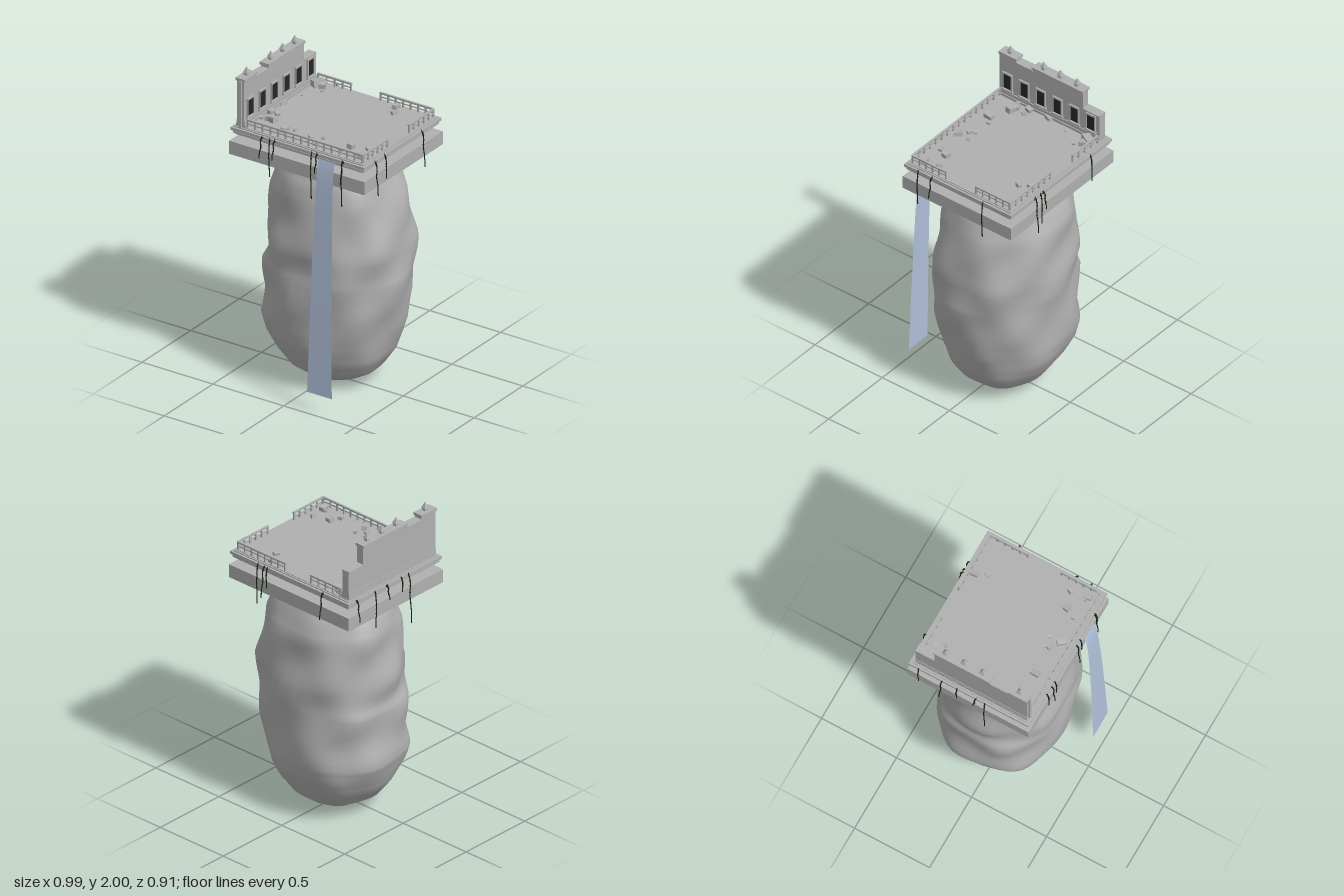
import * as THREE from 'three';

export function createModel() {
  const root = new THREE.Group();
  root.name = 'floatingTerrace';
  const mat = (name, color, side = THREE.FrontSide) => {
    const m = new THREE.MeshStandardMaterial({ color, side });
    m.name = name;
    return m;
  };
  const stone = mat('stone', 0xb0b0b0);
  const glass = mat('darkWindow', 0x262626);
  const water = mat('water', 0xb0c0da, THREE.DoubleSide);
  const vineGreen = mat('vineGreen', 0x15230f);
  const CZ = -0.037; // middle of the terrace in z

  const add = (parent, name, geo, material, x = 0, y = 0, z = 0) => {
    const m = new THREE.Mesh(geo, material);
    m.name = name;
    m.position.set(x, y, z);
    parent.add(m);
    return m;
  };
  // Box given by its limits
  const box = (parent, name, x0, x1, y0, y1, z0, z1, material = stone) =>
    add(parent, name, new THREE.BoxGeometry(x1 - x0, y1 - y0, z1 - z0), material,
      (x0 + x1) / 2, (y0 + y1) / 2, (z0 + z1) / 2);
  const group = (name) => {
    const g = new THREE.Group();
    g.name = name;
    root.add(g);
    return g;
  };

  // Rock: lumpy rings of y, xMin, xMax, zMin, zMax
  const rings = [
    [0.005, -0.03, 0.03, -0.06, 0], [0.015, -0.10, 0.11, -0.13, 0.07], [0.045, -0.19, 0.20, -0.22, 0.15],
    [0.1, -0.28, 0.29, -0.29, 0.22], [0.2, -0.36, 0.355, -0.36, 0.28], [0.3, -0.405, 0.385, -0.41, 0.32],
    [0.4, -0.44, 0.415, -0.43, 0.335], [0.55, -0.405, 0.45, -0.43, 0.345], [0.72, -0.425, 0.472, -0.425, 0.35],
    [0.8, -0.395, 0.47, -0.43, 0.345], [0.93, -0.41, 0.477, -0.435, 0.355], [1.08, -0.39, 0.445, -0.415, 0.325],
    [1.23, -0.395, 0.41, -0.41, 0.31], [1.33, -0.36, 0.37, -0.375, 0.285], [1.4, -0.32, 0.33, -0.34, 0.25],
    [1.45, -0.29, 0.30, -0.31, 0.22],
  ];
  const ringAt = (t) => {
    const f = t * (rings.length - 1), i = Math.min(Math.floor(f), rings.length - 2);
    return rings[i].map((v, k) => v + (rings[i + 1][k] - v) * (f - i));
  };
  const seg = 48, rows = 45, pos = [], idx = [];
  for (let r = 0; r <= rows; r++) {
    const [y, x0, x1, z0, z1] = ringAt(r / rows);
    for (let s = 0; s < seg; s++) {
      const a = (s / seg) * Math.PI * 2, c = Math.cos(a), n = Math.sin(a);
      const lump = 1 + 0.022 * Math.sin(3 * a + 5 * y) * Math.sin(9 * y + 2 * a)
        + 0.016 * Math.sin(7 * a - 8 * y) + 0.01 * Math.cos(5 * a + 17 * y) - 0.012;
      const px = Math.sign(c) * Math.abs(c) ** 0.88, pz = Math.sign(n) * Math.abs(n) ** 0.88;
      pos.push((x0 + x1) / 2 + (x1 - x0) / 2 * px * lump, y, (z0 + z1) / 2 + (z1 - z0) / 2 * pz * lump);
      if (r < rows) {
        const p = r * seg + s, q = r * seg + (s + 1) % seg;
        idx.push(p, p + seg, q, q, p + seg, q + seg);
      }
    }
  }
  const bottom = pos.length / 3, top = bottom + 1;
  pos.push(0, 0, -0.03, 0, 1.45, -0.04);
  for (let s = 0; s < seg; s++) {
    const s2 = (s + 1) % seg;
    idx.push(bottom, s, s2, top, rows * seg + s2, rows * seg + s);
  }
  const rockGeo = new THREE.BufferGeometry();
  rockGeo.setAttribute('position', new THREE.Float32BufferAttribute(pos, 3));
  rockGeo.setIndex(idx);
  rockGeo.computeVertexNormals();
  add(root, 'rock', rockGeo, stone);

  // Base slab, with the stepped terrace hovering above it
  box(root, 'baseSlab', -0.477, 0.477, 1.45, 1.535, CZ - 0.403, CZ + 0.403);
  const terrace = group('terrace');
  [[1.575, 1.586, 0.45], [1.586, 1.598, 0.462], [1.598, 1.606, 0.452], [1.606, 1.624, 0.472]].forEach(
    ([y0, y1, w], i) => box(terrace, 'terraceStep' + i, -w, w, y0, y1, CZ - w + 0.074, CZ + w - 0.074));
  [[0.458, 1.63], [0.448, 1.634]].forEach(([w, y], i) =>
    box(terrace, 'deck' + i, -w, w, 1.62, y, CZ - w + 0.074, CZ + w - 0.074));

  // Low railings along the edges
  const railings = group('railings');
  const railing = (ax, az, bx, bz) => {
    const len = Math.hypot(bx - ax, bz - az), g = new THREE.Group();
    g.name = 'railing';
    g.position.set((ax + bx) / 2, 0, (az + bz) / 2);
    g.rotation.y = -Math.atan2(bz - az, bx - ax);
    railings.add(g);
    const h = len / 2;
    box(g, 'topRail', -h, h, 1.677, 1.688, -0.006, 0.006);
    box(g, 'middleRail', -h, h, 1.654, 1.661, -0.003, 0.003);
    const n = Math.round(len / 0.055);
    for (let i = 0; i <= n; i++) {
      const x = -h + 0.005 + (len - 0.01) * i / n;
      box(g, 'railPost', x - 0.005, x + 0.005, 1.63, 1.68, -0.005, 0.005);
    }
  };
  railing(-0.38, 0.325, 0.44, 0.325);
  railing(-0.38, -0.402, -0.14, -0.402);
  railing(0.06, -0.402, 0.44, -0.402);
  railing(0.438, -0.405, 0.438, -0.145);
  railing(0.438, 0.07, 0.438, 0.325);

  // Ruined wall of six window bays
  const wall = group('ruinedWall');
  const heights = [1.935, 1.913, 1.935, 1.935, 1.935, 1.815];
  heights.forEach((h, i) => {
    const z = 0.276 - i * 0.1238, w = 0.0619;
    box(wall, 'wallBay', -0.442, -0.393, 1.625, h, z - w, z + w);
    box(wall, 'plinth', -0.447, -0.381, 1.625, 1.65, z - w, z + w);
    box(wall, 'plinthBand', -0.445, -0.387, 1.65, 1.672, z - w, z + w);
    // Framed window
    box(wall, 'windowPane', -0.394, -0.388, 1.695, 1.795, z - 0.028, z + 0.028, glass);
    box(wall, 'windowSill', -0.394, -0.379, 1.682, 1.692, z - 0.042, z + 0.042);
    box(wall, 'windowLintel', -0.394, -0.382, 1.798, 1.809, z - 0.036, z + 0.036);
    for (const s of [-1, 1])
      box(wall, 'windowJamb', -0.394, -0.383, 1.69, 1.8, z + s * 0.032 - 0.004, z + s * 0.032 + 0.004);
    if (h > 1.92) {
      // Coping and finial
      box(wall, 'coping', -0.45, -0.385, h - 0.008, h + 0.01, z - w - 0.003, z + w + 0.003);
      box(wall, 'finialBase', -0.428, -0.404, h + 0.01, 1.967, z - 0.012, z + 0.012);
      const cone = add(wall, 'finial', new THREE.ConeGeometry(0.024, 0.038, 4).toNonIndexed(), stone, -0.416, 1.981, z);
      cone.geometry.computeVertexNormals();
      cone.rotation.y = Math.PI / 4;
    } else {
      box(wall, 'brokenTop', -0.447, -0.39, h - 0.006, h + 0.004, z - w, z + w);
    }
  });
  box(wall, 'endPilaster', -0.425, -0.405, 1.625, 1.93, 0.337, 0.348);

  // Fallen blocks: x, z, width, depth, turn
  const rubble = group('rubble');
  [
    [-0.345, -0.355, 0.05, 0.075, -0.5], [-0.31, -0.35, 0.04, 0.05, 0.4], [-0.28, -0.3, 0.018, 0.02, 0.5],
    [-0.345, -0.19, 0.01, 0.01, 0.2], [-0.375, -0.04, 0.025, 0.05, -0.4], [-0.365, 0.097, 0.03, 0.042, -0.2],
    [-0.32, 0.098, 0.028, 0.025, -0.6], [-0.3, 0.178, 0.055, 0.04, -0.25], [-0.335, 0.172, 0.03, 0.045, 0.2],
    [-0.372, 0.185, 0.02, 0.022, 0.3], [-0.17, 0.24, 0.033, 0.055, -0.05], [-0.122, 0.205, 0.015, 0.024, 0],
    [0, 0.205, 0.013, 0.02, 0.5], [0.012, 0.237, 0.035, 0.024, -0.5], [0.07, 0.28, 0.033, 0.053, 0.7],
    [0.071, 0.203, 0.022, 0.022, 0.6], [0.273, 0.205, 0.04, 0.035, -0.15], [0.244, 0.265, 0.032, 0.022, 0.1],
    [0.392, 0.278, 0.035, 0.045, 0.1], [0.37, 0.27, 0.02, 0.022, 0.5], [0.375, 0.172, 0.028, 0.028, -0.5],
    [0.195, -0.37, 0.03, 0.048, 0.05], [0.23, -0.3, 0.025, 0.035, -0.4],
  ].forEach(([x, z, w, d, a], i) => {
    const h = Math.min(w, d) * 0.85;
    const b = add(rubble, 'fallenBlock', new THREE.BoxGeometry(w, h, d), stone, x, 1.634 + h * 0.42, z);
    b.rotation.set(0.12 * Math.sin(i * 2.3), a, 0.15 * Math.cos(i * 1.7));
  });

  // Waterfall: a thin sheet that arcs out and widens as it drops
  const sheet = new THREE.PlaneGeometry(2, 1, 1, 24);
  const p = sheet.attributes.position;
  for (let i = 0; i < p.count; i++) {
    const t = 0.5 - p.getY(i);
    p.setXYZ(i, 0.221 + p.getX(i) * (0.056 + 0.031 * t), 1.607 - 1.495 * t, 0.38 + 0.075 * Math.sqrt(t));
  }
  sheet.computeVertexNormals();
  add(root, 'waterfall', sheet, water);

  // Hanging vines: edge position, outward direction, lowest point
  const vines = group('vines');
  const vine = (x, z, ox, oz, end, i) => {
    const s = i % 2 ? 1 : -1, y0 = 1.622, drop = y0 - end;
    const at = (out, side, t) => new THREE.Vector3(
      x + ox * out + oz * side * s, y0 - drop * t, z + oz * out + ox * side * s);
    const curve = new THREE.CatmullRomCurve3([
      at(-0.012, 0, 0.02), at(0.002, 0.002, 0), at(0.013, 0.006, 0.15),
      at(0.014, 0.003, 0.45), at(0.018, 0.009, 0.7), at(0.019, 0.012, 1)]);
    const g = new THREE.Group();
    g.name = 'vine';
    vines.add(g);
    add(g, 'vineStem', new THREE.TubeGeometry(curve, 16, 0.0032, 5), vineGreen);
    for (let k = 0; k < 7; k++) {
      const q = curve.getPoint(0.2 + k * 0.085);
      const leaf = add(g, 'vineLeaf', new THREE.OctahedronGeometry(1), vineGreen, q.x, q.y, q.z);
      leaf.scale.set(0.0055, 0.014, 0.0055);
      leaf.rotation.set(0.3 * Math.sin(k * 2), k, 0.3 * Math.cos(k * 3));
    }
  };
  [[-0.245, 1.49], [-0.195, 1.39], [-0.155, 1.5], [0.1, 1.33], [0.145, 1.5], [0.315, 1.34], [0.328, 1.48]]
    .forEach(([x, e], i) => vine(x, 0.361, 0, 1, e, i));
  [[-0.27, 1.45], [0.175, 1.5], [0.195, 1.42], [0.25, 1.37]].forEach(([x, e], i) => vine(x, -0.435, 0, -1, e, i));
  [[-0.37, 1.48], [-0.21, 1.39], [-0.115, 1.53], [0.015, 1.54], [0.07, 1.3]]
    .forEach(([z, e], i) => vine(-0.472, z, -1, 0, e, i));
  [[-0.225, 1.39], [0.15, 1.48], [0.255, 1.4]].forEach(([z, e], i) => vine(0.472, z, 1, 0, e, i));

  return root;
}
